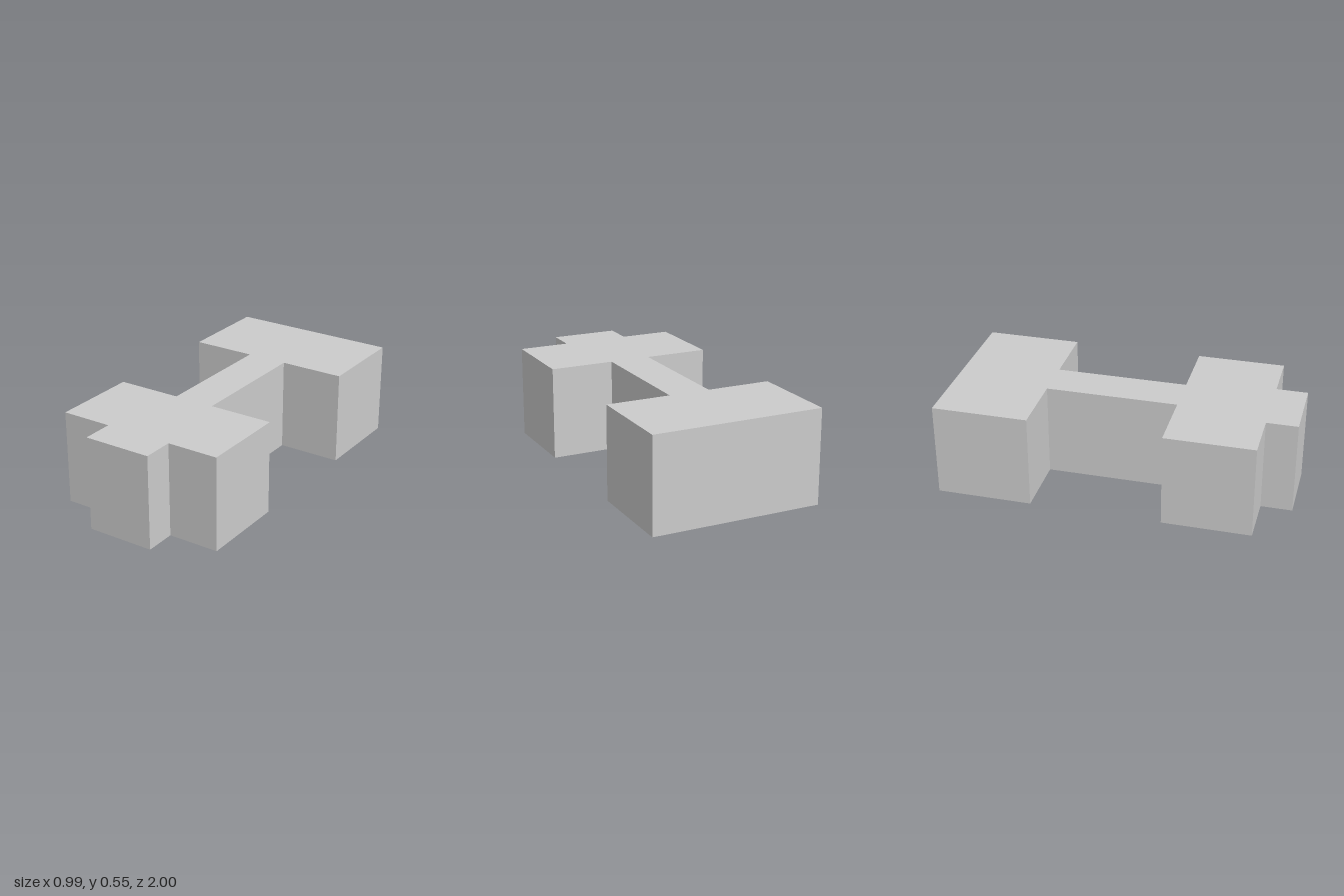
import * as THREE from 'three';

const HEIGHT = 0.545;

export function createModel() {
  const model = new THREE.Group();
  const material = new THREE.MeshStandardMaterial({ color: 0xcccccc, flatShading: true });

  // Body: two wide blocks joined by a narrow bridge, as a mirrored plan of (x, z) points
  const half = [
    [0.495, -1], [0.495, -0.45], [0.12, -0.45],
    [0.12, 0.31], [0.495, 0.31], [0.495, 0.82],
  ];
  const outline = [...half, ...half.map(([x, z]) => [-x, z]).reverse()];
  const plan = new THREE.Shape(outline.map(([x, z]) => new THREE.Vector2(x, z)));
  const bodyGeometry = new THREE.ExtrudeGeometry(plan, { depth: HEIGHT, bevelEnabled: false });
  bodyGeometry.rotateX(Math.PI / 2).translate(0, HEIGHT, 0);
  const body = new THREE.Mesh(bodyGeometry, material);
  body.name = 'body';
  model.add(body);

  // Small block on the front face
  const frontBlock = new THREE.Mesh(new THREE.BoxGeometry(0.395, HEIGHT, 0.18), material);
  frontBlock.position.set(0, HEIGHT / 2, 0.91);
  frontBlock.name = 'frontBlock';
  model.add(frontBlock);

  return model;
}
